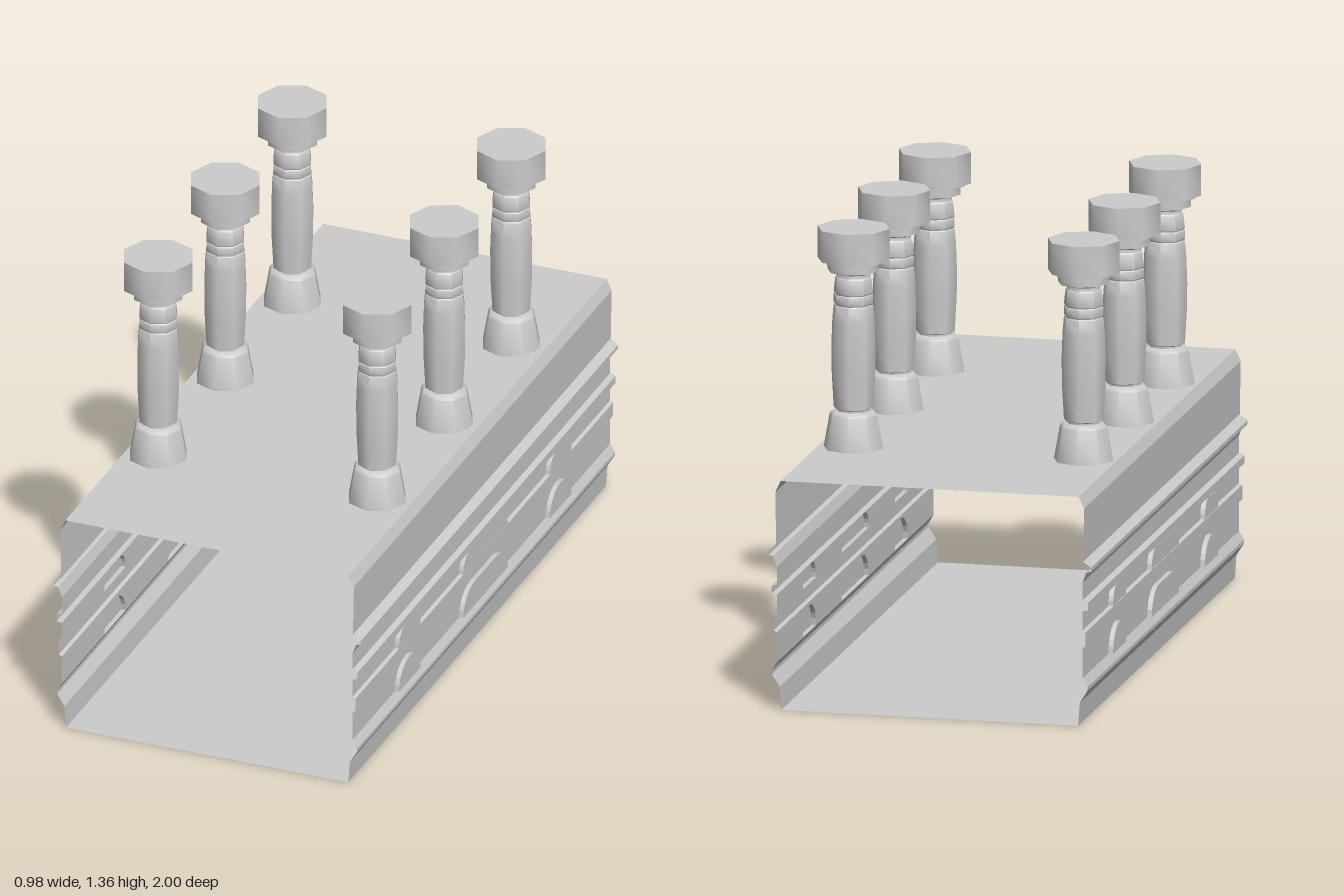
import * as THREE from 'three';
import { toCreasedNormals } from 'three/addons/utils/BufferGeometryUtils.js';

const grey = new THREE.MeshStandardMaterial({ color: 0xcccccc });
const sheet = new THREE.MeshStandardMaterial({ color: 0xcccccc, side: THREE.DoubleSide });

// Flat-faced strip between two polylines of [x, y, z] points
function strip(a, b) {
  const pos = [];
  for (let i = 0; i < a.length - 1; i++) {
    pos.push(...a[i], ...b[i], ...b[i + 1], ...a[i], ...b[i + 1], ...a[i + 1]);
  }
  const g = new THREE.BufferGeometry();
  g.setAttribute('position', new THREE.Float32BufferAttribute(pos, 3));
  g.computeVertexNormals();
  return g;
}

function add(parent, name, geometry, material = sheet) {
  const mesh = new THREE.Mesh(geometry, material);
  mesh.name = name;
  parent.add(mesh);
  return mesh;
}

// Arch outline with a flat sill and elliptical shoulders of width r
function archPoints(u, y, halfWidth, height, r) {
  const pts = [];
  for (const side of [1, -1]) {
    for (let i = 0; i <= 6; i++) {
      const t = (side > 0 ? i : 6 - i) * Math.PI / 12;
      pts.push(new THREE.Vector2(
        u + side * (halfWidth - r + r * Math.cos(t)), y + height * Math.sin(t)));
    }
  }
  return pts;
}

const WALL = 0.463, PROUD = 0.477;
// Moulding runs below, between and above the two arched bands, as [x, y]
const mouldings = [
  [[0.45, 0], [0.455, 0.07], [0.478, 0.107], [0.478, 0.118], [WALL, 0.144]],
  [[WALL, 0.235], [0.473, 0.24], [0.473, 0.284], [WALL, 0.289]],
  [[WALL, 0.348], [0.48, 0.35], [0.48, 0.374], [0.463, 0.38], [0.463, 0.433],
    [0.475, 0.465], [0.489, 0.468], [0.489, 0.48], [0.465, 0.497], [0.468, 0.658], [0.452, 0.693]],
];
// Bands: bottom, top, arch height, shoulder of the small and the wide arch
const bands = [
  { y0: 0.144, y1: 0.235, h: 0.08, small: 0.083, wide: 0.09 },
  { y0: 0.289, y1: 0.348, h: 0.056, small: 0.045, wide: 0.05 },
];

function makeSide(s) {
  const side = new THREE.Group();
  side.name = s > 0 ? 'leftWall' : 'rightWall';
  const run = (a, b) => (s > 0 ? strip(a, b) : strip(b, a));
  for (const profile of mouldings) {
    const at = z => profile.map(([x, y]) => [s * x, y, z]);
    add(side, 'moulding', run(at(1), at(-1)));
  }
  const place = (geometry, x) => geometry.rotateY(s * Math.PI / 2).translate(s * x, 0, 0);
  for (const { y0, y1, h, small, wide } of bands) {
    const wall = new THREE.Shape([[-1, y0], [1, y0], [1, y1], [-1, y1]]
      .map(p => new THREE.Vector2(...p)));
    for (const [z, halfWidth, r] of [[0.588, 0.084, small], [0, 0.173, wide], [-0.583, 0.084, small]]) {
      const pts = archPoints(-s * z, y0 + 0.001, halfWidth, h, r);
      wall.holes.push(new THREE.Path(pts));
      // Raised arch: face and rim
      add(side, 'archPanel', place(new THREE.ShapeGeometry(new THREE.Shape(pts)), PROUD));
      const ring = [...pts, pts[0]];
      const at = x => ring.map(p => [s * x, p.y, -s * p.x]);
      add(side, 'archRim', strip(at(WALL), at(PROUD)));
    }
    add(side, 'archBand', place(new THREE.ShapeGeometry(wall), WALL));
  }
  return side;
}

// Eight-sided turned column, as [radius, y] from foot to top
const columnProfile = [
  [0, 0.694], [0.09, 0.694], [0.072, 0.795], [0.066, 0.803], [0.05, 0.807], [0.05, 0.812],
  [0.06, 0.816], [0.066, 0.92], [0.067, 1.0], [0.064, 1.08], [0.06, 1.125], [0.057, 1.128],
  [0.06, 1.132], [0.06, 1.157], [0.057, 1.16], [0.06, 1.164], [0.055, 1.208], [0.051, 1.212],
  [0.051, 1.222], [0.065, 1.226], [0.078, 1.23], [0.078, 1.255], [0.09, 1.255],
  [0.09, 1.265], [0.109, 1.265], [0.109, 1.36], [0, 1.36],
].map(p => new THREE.Vector2(...p));

export function createModel() {
  const model = new THREE.Group();

  // Open-ended body
  model.add(makeSide(1), makeSide(-1));
  const slab = (x, y, up) => new THREE.PlaneGeometry(2 * x, 2)
    .rotateX(up ? -Math.PI / 2 : Math.PI / 2).translate(0, y, 0);
  add(model, 'topPlate', slab(0.452, 0.693, true));
  add(model, 'floorPlate', slab(0.45, 0, false));

  // Two rows of three columns
  const columnGeometry = toCreasedNormals(new THREE.LatheGeometry(columnProfile, 8), 0.8);
  for (const x of [-0.353, 0.345]) {
    for (const z of [0.52, 0, -0.52]) {
      add(model, 'column', columnGeometry, grey).position.set(x, 0, z);
    }
  }
  return model;
}
